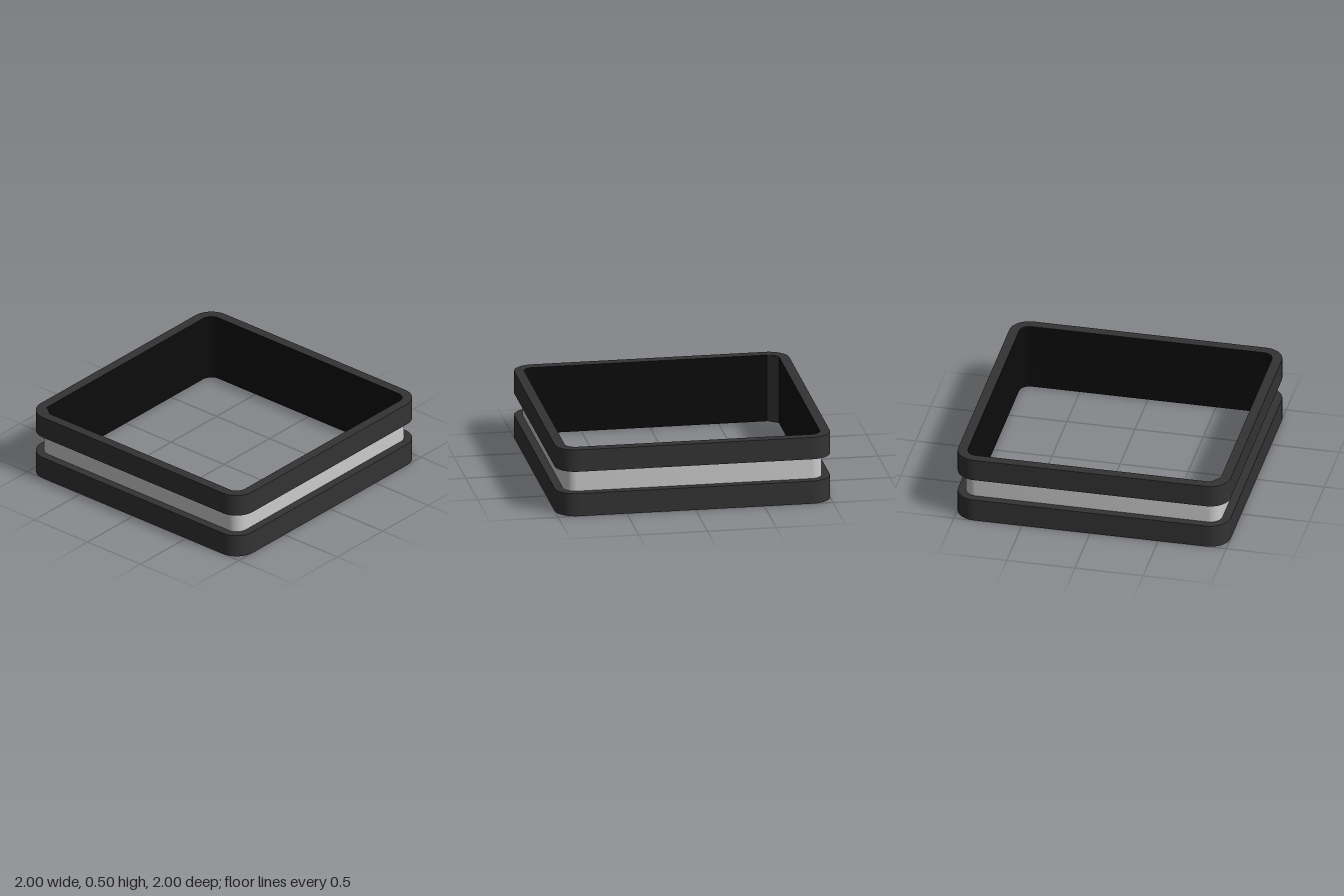
import * as THREE from 'three';
import { toCreasedNormals } from 'three/addons/utils/BufferGeometryUtils.js';

const HEIGHT = 0.5;
const dark = new THREE.MeshStandardMaterial({ color: 0x333333 });
const black = new THREE.MeshStandardMaterial({ color: 0x0c0c0c });
const grey = new THREE.MeshStandardMaterial({ color: 0xcccccc });

// Rounded square of half-width h and corner radius r
function roundedSquare(path, h, r) {
  const c = h - r;
  path.moveTo(c, -h);
  path.absarc(c, -c, r, -Math.PI / 2, 0);
  path.absarc(c, c, r, 0, Math.PI / 2);
  path.absarc(-c, c, r, Math.PI / 2, Math.PI);
  path.absarc(-c, -c, r, Math.PI, Math.PI * 1.5);
  path.closePath();
  return path;
}

// Extrude a plan shape upwards between two heights
function extrudeUp(name, shape, y0, y1, material) {
  const geo = new THREE.ExtrudeGeometry(shape, { depth: y1 - y0, bevelEnabled: false, curveSegments: 16 });
  geo.rotateX(-Math.PI / 2);
  geo.translate(0, y0, 0);
  const mesh = new THREE.Mesh(toCreasedNormals(geo, 0.5), material);
  mesh.name = name;
  return mesh;
}

function ring(name, outer, outerR, inner, innerR, y0, y1, material) {
  const shape = roundedSquare(new THREE.Shape(), outer, outerR);
  shape.holes.push(roundedSquare(new THREE.Path(), inner, innerR));
  return extrudeUp(name, shape, y0, y1, material);
}

export function createModel() {
  const group = new THREE.Group();
  group.name = 'squareFrame';

  // Two outer bands with a recessed groove between them
  group.add(ring('lowerBand', 1, 0.15, 0.932, 0.082, 0, 0.17, dark));
  group.add(ring('upperBand', 1, 0.15, 0.932, 0.082, 0.335, HEIGHT, dark));
  group.add(ring('grooveBand', 0.94, 0.09, 0.932, 0.082, 0.17, 0.335, grey));

  // Thin inner wall: dark rim on the ends, black sides
  group.add(ring('innerWall', 0.932, 0.082, 0.928, 0.078, 0, HEIGHT, [dark, black]));

  // Flat fillet across the inside of the back right corner
  const corner = new THREE.Shape();
  corner.moveTo(-0.928, 0.85);
  corner.lineTo(-0.865, 0.928);
  corner.absarc(-0.85, 0.85, 0.079, Math.PI / 2, Math.PI, false);
  corner.closePath();
  group.add(extrudeUp('cornerFillet', corner, 0.002, HEIGHT - 0.002, dark));

  return group;
}
